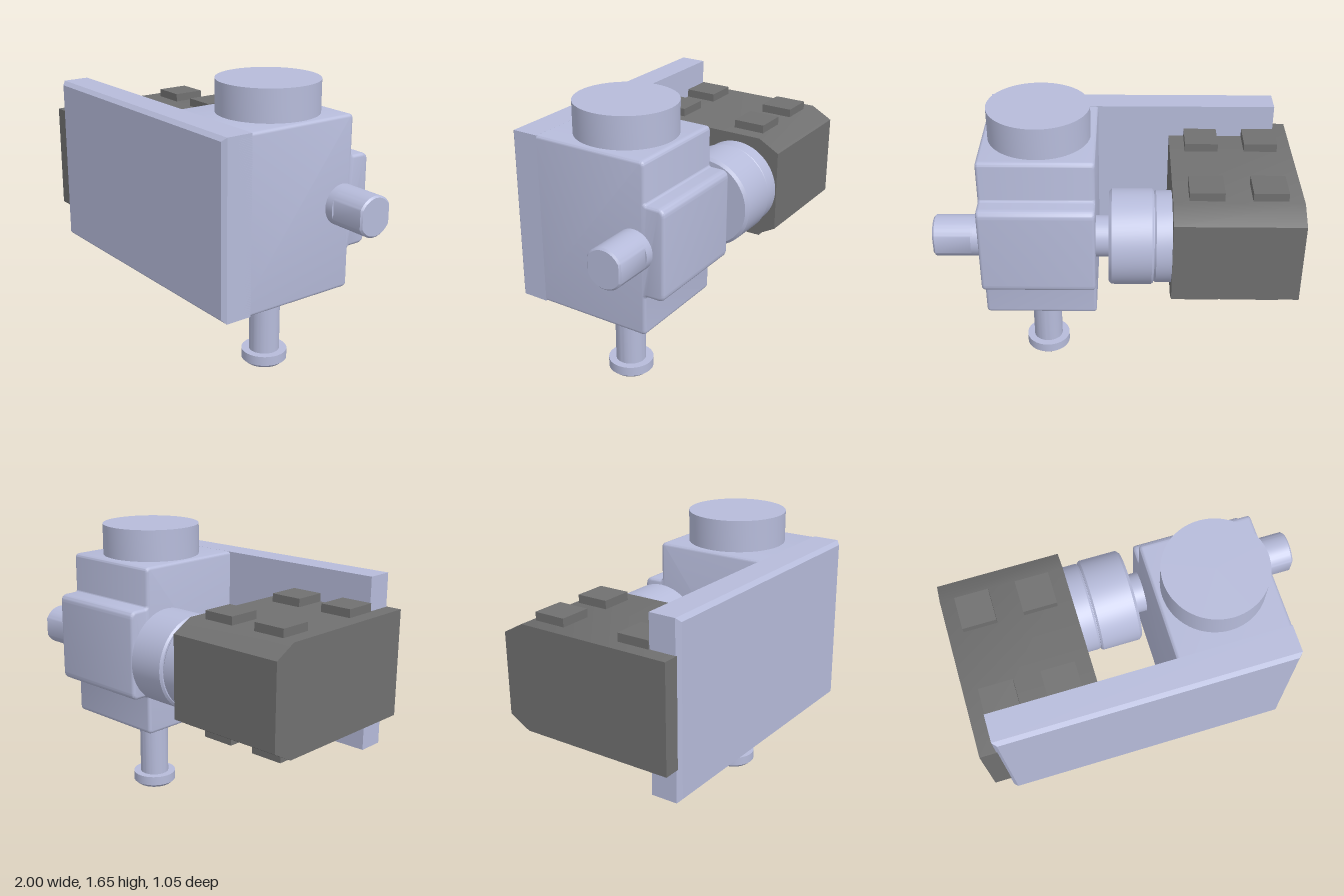
import * as THREE from 'three';
import { toCreasedNormals } from 'three/addons/utils/BufferGeometryUtils.js';

const light = new THREE.MeshStandardMaterial({ color: 0xb6bbda });
const dark = new THREE.MeshStandardMaterial({ color: 0x707070 });
const AXIS_Y = 0.98, AXIS_Z = -0.262; // drive shaft axis
const POST_X = 0.423; // vertical post axis

// Polygon whose corners [x, y, radius] are rounded
function roundedShape(corners) {
  const shape = new THREE.Shape();
  const n = corners.length;
  corners.forEach(([x, y, r], i) => {
    const p = new THREE.Vector2(x, y);
    const toward = ([a, b]) => new THREE.Vector2(a, b).sub(p).setLength(r).add(p);
    const a = toward(corners[(i + n - 1) % n]), b = toward(corners[(i + 1) % n]);
    if (i === 0) shape.moveTo(a.x, a.y); else shape.lineTo(a.x, a.y);
    if (r > 0) shape.quadraticCurveTo(x, y, b.x, b.y);
  });
  shape.closePath();
  return shape;
}

// Side profile (shape x = -z) extruded along x from x0 to x1
function extrudeX(shape, x0, x1, bevel = 0, steps = 3) {
  const geo = new THREE.ExtrudeGeometry(shape, {
    depth: x1 - x0 - 2 * bevel, bevelEnabled: bevel > 0, bevelSize: bevel,
    bevelThickness: bevel, bevelOffset: -bevel, bevelSegments: steps, curveSegments: 12,
  });
  geo.rotateY(Math.PI / 2).translate(x0 + bevel, 0, 0);
  return toCreasedNormals(geo, 0.6);
}

// Turned part from [radius, height] pairs, bottom to top
function turned(points) {
  const profile = points.map(([r, h]) => new THREE.Vector2(r, h));
  return toCreasedNormals(new THREE.LatheGeometry(profile, 64), 0.5);
}

// Turned part lying on the drive axis; heights become x
const turnedX = (points) =>
  turned(points).rotateZ(-Math.PI / 2).rotateX(Math.PI).translate(0, AXIS_Y, AXIS_Z);

export function createModel() {
  const model = new THREE.Group();
  const add = (name, geometry, material = light) => {
    const mesh = new THREE.Mesh(geometry, material);
    mesh.name = name;
    model.add(mesh);
  };

  // Long front plate with a chamfered front edge
  const w = 1.65, h = 0.985, d = 0.175, c = 0.022;
  const plate = new THREE.BoxGeometry(w, h, d, 1, 1, 2).toNonIndexed();
  const pos = plate.attributes.position;
  for (let i = 0; i < pos.count; i++) {
    const z = pos.getZ(i);
    if (z > d / 2 - 1e-4) {
      pos.setX(i, pos.getX(i) * (1 - 2 * c / w));
      pos.setY(i, pos.getY(i) * (1 - 2 * c / h));
    } else if (Math.abs(z) < 1e-4) pos.setZ(i, d / 2 - c);
  }
  plate.computeVertexNormals();
  add('frontPlate', plate.translate(-0.085, 0.978, 0.4375));

  // Gear housing with a raised back block
  add('housing', extrudeX(roundedShape([
    [-0.45, 0.485, 0], [0.327, 0.485, 0.03], [0.327, 0.72, 0.015],
    [0.445, 0.72, 0.045], [0.445, 1.24, 0.045], [0.327, 1.24, 0.015],
    [0.327, 1.47, 0.03], [-0.45, 1.47, 0],
  ]), 0.108, 0.74, 0.018));

  // Round cap on top
  add('topCap', turned([[0, 1.46], [0.283, 1.46], [0.283, 1.65], [0, 1.65]])
    .translate(POST_X, 0, 0));

  // Post below, its chamfered head and hexagonal socket
  add('post', turned([[0, 0.045], [0.087, 0.045], [0.087, 0.5]]).translate(POST_X, 0, 0));
  add('postHead', turned([[0.108, 0], [0.13, 0.02], [0.13, 0.075], [0.08, 0.075]])
    .translate(POST_X, 0, 0));
  const face = new THREE.Shape().absarc(0, 0, 0.108, 0, Math.PI * 2);
  const hex = Array.from({ length: 6 }, (_, i) => new THREE.Vector2(
    0.048 * Math.cos(i * Math.PI / 3), 0.048 * Math.sin(i * Math.PI / 3)));
  face.holes.push(new THREE.Path(hex));
  const socket = new THREE.ExtrudeGeometry(face,
    { depth: 0.05, bevelEnabled: false, curveSegments: 32 });
  add('postSocket', socket.rotateX(-Math.PI / 2).translate(POST_X, 0, 0));

  // Drive shaft and its output end with two flats
  add('shaft', turnedX([[0, -0.1], [0.115, -0.1], [0.115, 0.79], [0, 0.79]]));
  const a = Math.acos(0.103 / 0.115);
  const flats = new THREE.Shape();
  flats.absarc(0, 0, 0.115, a, Math.PI - a);
  flats.absarc(0, 0, 0.115, Math.PI + a, Math.PI * 2 - a);
  flats.closePath();
  add('shaftEnd', extrudeX(flats, 0.77, 1, 0.01, 1).translate(0, AXIS_Y, AXIS_Z));

  // Stepped coupling between shaft and motor
  add('couplingCollar', turnedX([[0, -0.32], [0.255, -0.32], [0.255, -0.22],
    [0.247, -0.21], [0.247, -0.2]]));
  add('couplingDrum', turnedX([[0, -0.208], [0.255, -0.208], [0.266, -0.197],
    [0.266, 0.02], [0.25, 0.036], [0, 0.036]]));

  // Motor block, bevelled along the back
  add('motorBlock', extrudeX(roundedShape([
    [-0.508, 0.675, 0], [0.4, 0.675, 0], [0.523, 0.743, 0],
    [0.523, 1.213, 0], [0.4, 1.281, 0], [-0.508, 1.281, 0],
  ]), -1, -0.305), dark);

  // Square pads above and below the motor
  for (const y of [0.66, 1.296])
    for (const x of [-0.822, -0.485])
      for (const z of [-0.283, 0.255])
        add('motorPad', new THREE.BoxGeometry(0.188, 0.064, 0.188).translate(x, y, z), dark);

  return model;
}
